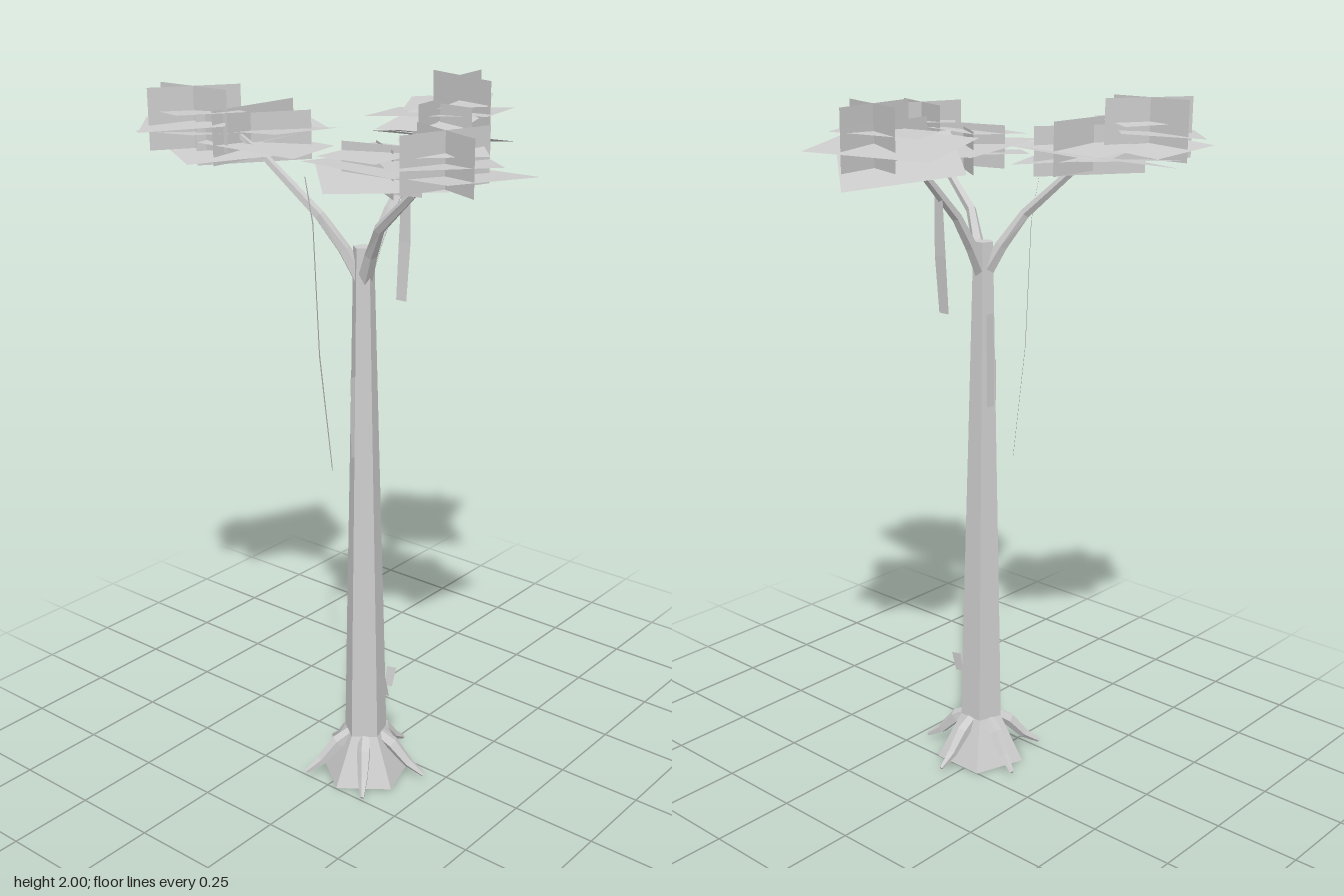
import * as THREE from 'three';

export function createModel() {
  const tree = new THREE.Group();
  const grey = new THREE.MeshStandardMaterial({ color: 0xcccccc, flatShading: true, side: THREE.DoubleSide });
  grey.name = 'light grey';
  const V = (x, y, z) => new THREE.Vector3(x, y, z);

  const add = (name, geometry, parent = tree) => {
    const mesh = new THREE.Mesh(geometry, grey);
    mesh.name = name;
    parent.add(mesh);
    return mesh;
  };

  // Tapered tube through points, with a radius at each point
  function limb(points, radii, sides = 5) {
    const position = [], index = [];
    const up = V(0, 1, 0);
    points.forEach((p, i) => {
      const dir = points[Math.min(i + 1, points.length - 1)].clone().sub(points[Math.max(i - 1, 0)]).normalize();
      const side = V(0, 0, 0).crossVectors(dir, up).normalize();
      const over = V(0, 0, 0).crossVectors(side, dir);
      for (let k = 0; k < sides; k++) {
        const a = (k / sides) * Math.PI * 2;
        const q = p.clone().addScaledVector(side, Math.cos(a) * radii[i]).addScaledVector(over, Math.sin(a) * radii[i]);
        position.push(q.x, q.y, q.z);
        if (i) {
          const n = (k + 1) % sides, b = i * sides, c = b - sides;
          index.push(c + k, c + n, b + k, c + n, b + n, b + k);
        }
      }
    });
    const last = (points.length - 1) * sides;
    for (let k = 1; k < sides - 1; k++) index.push(last, last + k, last + k + 1, 0, k + 1, k);
    const g = new THREE.BufferGeometry();
    g.setAttribute('position', new THREE.Float32BufferAttribute(position, 3));
    g.setIndex(index);
    g.computeVertexNormals();
    return g;
  }

  // Flat ribbon along points, widened along one direction
  function ribbon(points, across, widths) {
    const position = [], index = [];
    points.forEach((p, i) => {
      for (const s of [-0.5, 0.5]) {
        const q = p.clone().addScaledVector(across, s * widths[i]);
        position.push(q.x, q.y, q.z);
      }
      if (i) index.push(2 * i - 2, 2 * i - 1, 2 * i, 2 * i - 1, 2 * i + 1, 2 * i);
    });
    const g = new THREE.BufferGeometry();
    g.setAttribute('position', new THREE.Float32BufferAttribute(position, 3));
    g.setIndex(index);
    g.computeVertexNormals();
    return g;
  }

  // Five-sided trunk with a flared foot
  const cx = -0.11, cz = 0.03;
  const profile = [[0, 0], [0.137, 0], [0.064, 0.14], [0.056, 0.5], [0.042, 1.05], [0.029, 1.6], [0, 1.6]];
  const trunk = add('trunk', new THREE.LatheGeometry(profile.map(([r, y]) => new THREE.Vector2(r, y)), 5, -Math.PI / 2));
  trunk.position.set(cx, 0, cz);

  // Roots around the foot
  for (let i = 0; i < 5; i++) {
    const a = (i / 5) * Math.PI * 2;
    const at = (r, y) => V(cx + Math.cos(a) * r, y, cz + Math.sin(a) * r);
    add('root', limb([at(0.045, 0.13), at(0.085, 0.105), at(0.135, 0.05), at(0.183, 0.018)], [0.018, 0.021, 0.015, 0.006]));
  }

  // Three branches
  const branches = [
    [V(-0.11, 1.5, 0.03), V(-0.06, 1.59, 0.03), V(0, 1.68, 0.03), V(0.15, 1.83, 0.03), V(0.24, 1.9, 0.03)],
    [V(-0.11, 1.5, 0.03), V(-0.135, 1.59, -0.015), V(-0.17, 1.68, -0.07), V(-0.21, 1.82, -0.22), V(-0.25, 1.88, -0.28)],
    [V(-0.11, 1.5, 0.03), V(-0.135, 1.59, 0.075), V(-0.17, 1.67, 0.13), V(-0.2, 1.78, 0.26), V(-0.21, 1.83, 0.31)],
  ];
  for (const path of branches) add('branch', limb(path, [0.022, 0.018, 0.015, 0.011, 0.008]));

  // Hanging vines
  const slant = V(0.8, 0, -0.6);
  add('longVine', ribbon([V(-0.19, 1.78, -0.1), V(-0.19, 1.66, -0.075), V(-0.183, 1.3, -0.065), V(-0.168, 0.97, -0.037)],
    slant, [0.02, 0.03, 0.032, 0.025]));
  add('shortVine', ribbon([V(0.066, 1.74, 0.035), V(0.06, 1.58, 0.035), V(0.046, 1.42, 0.035)], V(0, 0, 1), [0.03, 0.04, 0.035]));

  // Loose bark strips and small flaps low on the trunk
  add('barkStrip', ribbon([V(-0.157, 1.25, 0.03), V(-0.155, 1.02, 0.03)], V(1, 0, 0), [0.02, 0.022]));
  add('barkStrip', ribbon([V(-0.1, 1.4, -0.005), V(-0.1, 1.13, -0.008)], V(1, 0, 0), [0.03, 0.03]));
  add('barkFlap', ribbon([V(-0.122, 0.34, 0.1), V(-0.105, 0.275, 0.098)], V(0.1, 0, 1), [0.03, 0.03]));
  add('barkFlap', ribbon([V(-0.055, 0.34, 0.085), V(-0.065, 0.28, 0.08)], V(0.3, 0, 0.9), [0.03, 0.025]));

  // Nearly level leaf card: centre, size, turn, then slopes along x and z
  function leaf(parent, [x, y, z, w, d, turn, sx, sz]) {
    const g = new THREE.PlaneGeometry(w, d).rotateX(-Math.PI / 2).rotateY(turn);
    const p = g.attributes.position;
    for (let i = 0; i < p.count; i++) p.setY(i, p.getX(i) * sx + p.getZ(i) * sz);
    g.computeVertexNormals();
    add('leafCard', g, parent).position.set(x, y, z);
  }
  // Upright leaf card between two plan points and two heights
  function upright(parent, [x1, z1, x2, z2, y1, y2]) {
    const g = new THREE.PlaneGeometry(Math.hypot(x2 - x1, z2 - z1), y2 - y1).rotateY(Math.atan2(z1 - z2, x2 - x1));
    add('uprightLeafCard', g, parent).position.set((x1 + x2) / 2, (y1 + y2) / 2, (z1 + z2) / 2);
  }

  const canopies = {
    leftCanopy: {
      level: [[0.28, 1.9, -0.01, 0.34, 0.34, 0.38, -0.05, 0.06], [0.2, 1.85, 0.05, 0.41, 0.31, 0.85, -0.2, 0.04],
        [0.28, 1.93, 0.015, 0.23, 0.23, 0.54, 0.05, 0.04], [0.16, 1.89, 0.04, 0.225, 0.21, 0.19, 0.1, -0.05]],
      tall: [[0.07, 0.07, 0.44, 0.01, 1.84, 1.95], [0.35, -0.09, 0.25, 0.175, 1.84, 2], [0.165, 0.175, 0.18, 0.06, 1.82, 1.94],
        [0.15, 0.06, 0.44, 0.01, 1.84, 2]],
    },
    backCanopy: {
      level: [[-0.12, 1.86, -0.35, 0.35, 0.24, -0.53, 0.15, 0.04], [-0.19, 1.85, -0.23, 0.27, 0.27, 0.31, -0.06, -0.08],
        [-0.14, 1.88, -0.27, 0.24, 0.27, 0, -0.05, 0.05], [-0.33, 1.91, -0.39, 0.25, 0.22, 0.73, 0.05, 0.04],
        [-0.29, 1.88, -0.39, 0.23, 0.25, -0.08, -0.08, 0.06], [-0.32, 1.94, -0.34, 0.19, 0.19, -0.46, -0.04, 0.05],
        [-0.25, 1.84, -0.31, 0.3, 0.25, -0.5, 0.06, -0.05]],
      tall: [[-0.41, -0.44, -0.2, -0.31, 1.84, 2], [-0.305, -0.5, -0.31, -0.255, 1.84, 2],
        [-0.35, -0.27, -0.04, -0.27, 1.81, 1.95], [-0.33, -0.35, -0.07, -0.18, 1.8, 1.93]],
    },
    frontCanopy: {
      level: [[-0.23, 1.82, 0.18, 0.3, 0.3, 0.78, 0.05, -0.06], [-0.19, 1.84, 0.16, 0.32, 0.27, 0.08, -0.08, -0.05],
        [-0.25, 1.88, 0.18, 0.2, 0.2, -0.1, 0.05, 0.03], [-0.22, 1.87, 0.35, 0.27, 0.27, 0.79, -0.04, 0.06],
        [-0.19, 1.84, 0.38, 0.29, 0.28, -0.23, -0.06, 0.04], [-0.18, 1.9, 0.335, 0.2, 0.2, 0.75, 0.05, -0.04]],
      tall: [[-0.35, 0.335, -0.09, 0.41, 1.81, 1.95], [-0.165, 0.245, -0.275, 0.495, 1.81, 1.95],
        [-0.255, 0.08, -0.215, 0.3, 1.78, 1.9], [-0.145, 0.1, -0.245, 0.235, 1.77, 1.89]],
    },
  };
  for (const [name, { level, tall }] of Object.entries(canopies)) {
    const canopy = new THREE.Group();
    canopy.name = name;
    level.forEach((c) => leaf(canopy, c));
    tall.forEach((c) => upright(canopy, c));
    tree.add(canopy);
  }

  return tree;
}
